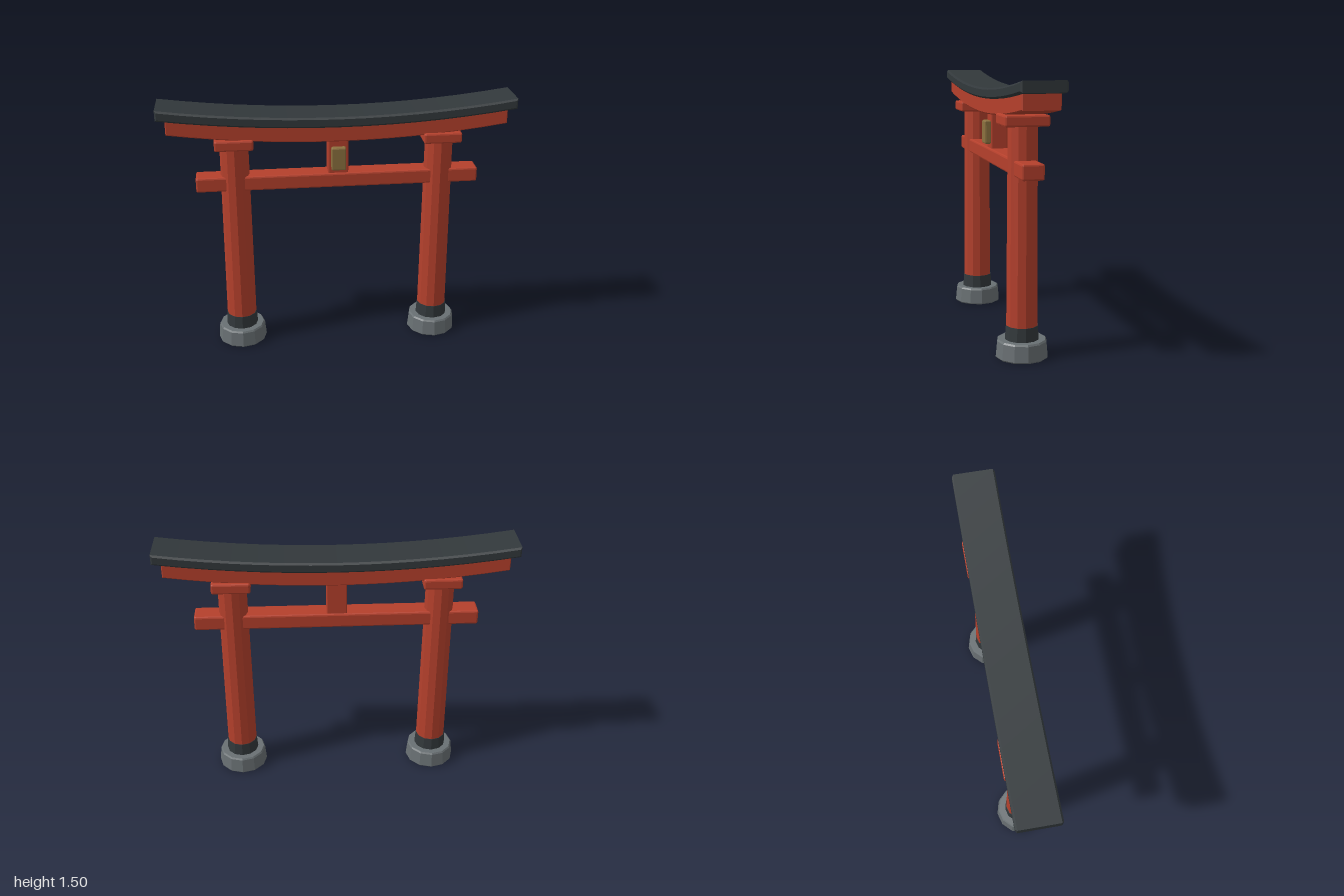
import * as THREE from 'three';
import { RoundedBoxGeometry } from 'three/addons/geometries/RoundedBoxGeometry.js';

const paint = (color) => new THREE.MeshStandardMaterial({ color, flatShading: true });

export function createModel() {
  const group = new THREE.Group();
  const red = paint(0xb5402c), dark = paint(0x32383b), stone = paint(0x697073), brass = paint(0x8c713f);

  function add(name, geometry, material, x = 0, y = 0, z = 0) {
    const mesh = new THREE.Mesh(geometry, material);
    mesh.name = name;
    mesh.position.set(x, y, z);
    group.add(mesh);
  }

  // Box with a small chamfer on every edge
  const block = (w, h, d, bevel = 0.01) => new RoundedBoxGeometry(w, h, d, 1, bevel);

  // Twelve-sided turned part from [radius, height] pairs
  const turned = (points) =>
    new THREE.LatheGeometry(points.map(([r, y]) => new THREE.Vector2(r, y)), 12);

  // Horizontal beam whose ends sweep upward
  function sweptBeam(half, bottom, top, rise, depth, bevel) {
    const steps = 14, lower = [], upper = [];
    for (let i = 0; i <= steps; i++) {
      const x = half * (2 * i / steps - 1);
      const lift = rise * x * x;
      lower.push(new THREE.Vector2(x, bottom + lift));
      upper.unshift(new THREE.Vector2(x, top + lift));
    }
    const geometry = new THREE.ExtrudeGeometry(new THREE.Shape([...lower, ...upper]), {
      depth: depth - 2 * bevel, bevelEnabled: true, bevelSegments: 1,
      bevelSize: bevel, bevelThickness: bevel, bevelOffset: -bevel,
    });
    return geometry.translate(0, 0, bevel - depth / 2);
  }

  // Pillars with stone footing, dark sleeve and cap
  for (const [side, x] of [['left', 0.585], ['right', -0.585]]) {
    add(side + 'Footing', turned([[0, 0], [0.138, 0], [0.145, 0.008], [0.137, 0.093], [0.13, 0.102], [0, 0.102]]), stone, x);
    add(side + 'Sleeve', turned([[0.095, 0.09], [0.089, 0.178], [0, 0.178]]), dark, x);
    add(side + 'Pillar', turned([[0.087, 0.17], [0.081, 1.26]]), red, x);
    add(side + 'PillarCap', block(0.216, 0.06, 0.24), red, x, 1.28);
  }

  // Tie beam, centre strut and plaque
  add('tieBeam', block(1.615, 0.085, 0.12), red, 0, 1.031);
  add('centreStrut', block(0.115, 0.25, 0.096, 0.006), red, 0, 1.175);
  add('plaque', block(0.082, 0.135, 0.04, 0.008), brass, 0, 1.166, 0.063);

  // Upper lintel and roof beam
  add('lintel', sweptBeam(0.95, 1.28, 1.375, 0.078, 0.2, 0.006), red);
  add('roofBeam', sweptBeam(1, 1.367, 1.426, 0.071, 0.24, 0.01), dark);

  return group;
}
